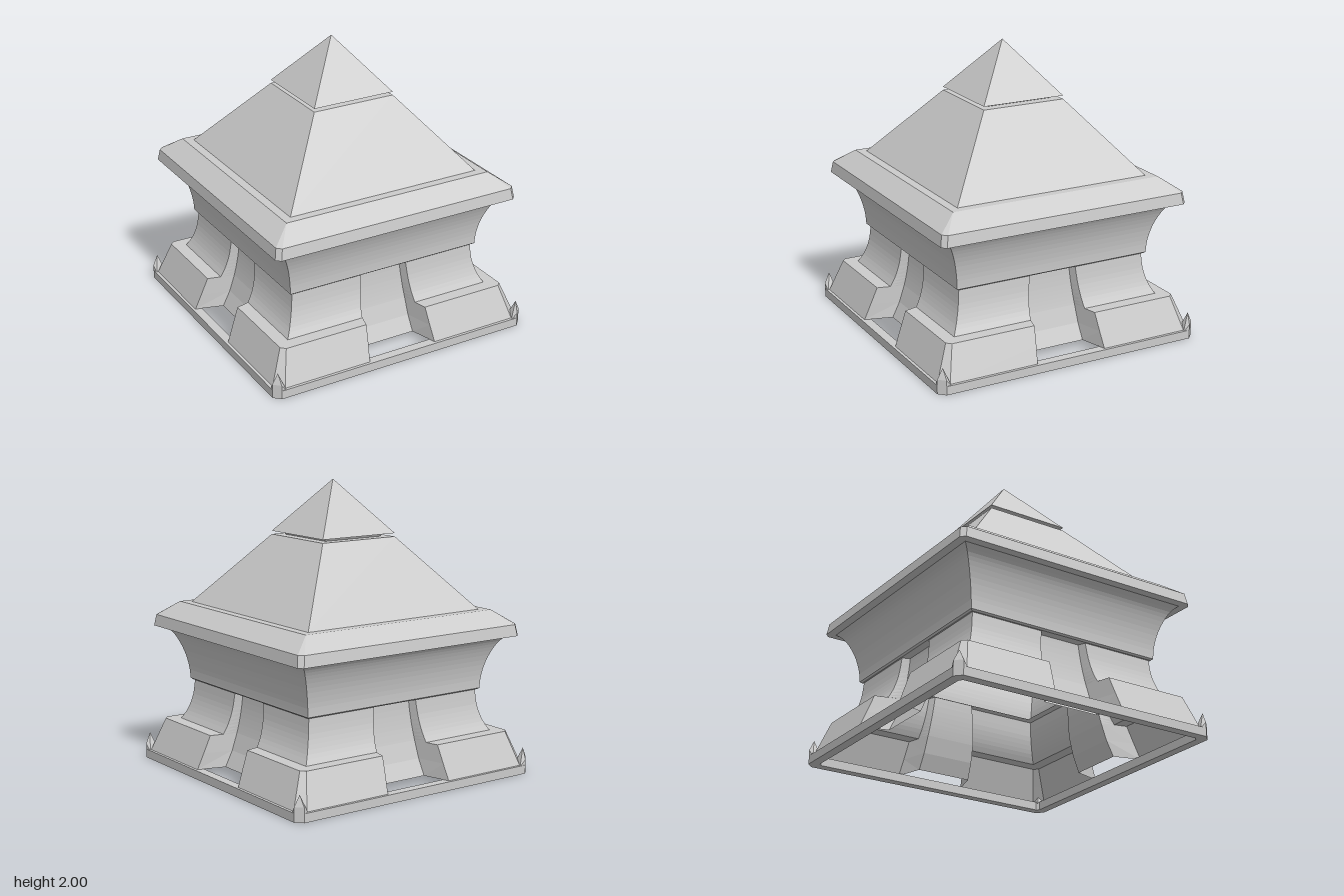
import * as THREE from 'three';
import { ConvexGeometry } from 'three/addons/geometries/ConvexGeometry.js';

const material = new THREE.MeshStandardMaterial({ color: 0xcccccc, flatShading: true, side: THREE.DoubleSide });

// Repeat one corner's outline points [x, z] around the four corners
function fourfold(points) {
  const out = [];
  let quarter = points;
  for (let k = 0; k < 4; k++) {
    out.push(...quarter);
    quarter = quarter.map(([x, z]) => [z, -x]);
  }
  return out;
}

// Square outline of half width h with corners cut by c
const square = (h, c = 0) => fourfold([[h - c, h], [h, h - c]]);

// Skin between stacked closed outlines { y, ring }
function loft(sections) {
  const pos = [];
  for (let i = 0; i < sections.length - 1; i++) {
    const lo = sections[i], hi = sections[i + 1], n = lo.ring.length;
    for (let j = 0; j < n; j++) {
      const k = (j + 1) % n;
      const at = (s, m) => [s.ring[m][0], s.y, s.ring[m][1]];
      const a = at(lo, j), b = at(lo, k), c = at(hi, k), d = at(hi, j);
      pos.push(...a, ...b, ...c, ...a, ...c, ...d);
    }
  }
  const geo = new THREE.BufferGeometry();
  geo.setAttribute('position', new THREE.Float32BufferAttribute(pos, 3));
  geo.computeVertexNormals();
  return geo;
}

// Loft of square sections [half width, y, corner cut]
const squareLoft = (list) => loft(list.map(([h, y, c]) => ({ y, ring: square(h, c) })));

// Smooth samples through [half width, y] points
function curve(points, n) {
  const spline = new THREE.SplineCurve(points.map(([x, y]) => new THREE.Vector2(x, y)));
  return spline.getPoints(n).map((p) => [p.x, p.y]);
}

// Leg section: outer half width h, corner cut c, opening edge g,
// recessed panel at depth p with half width q
const legSection = (y, h, c, g, p, q) => ({
  y,
  ring: fourfold([[q, p], [g, h], [h - c, h], [h, h - c], [h, g], [p, q]]),
});

export function createModel() {
  const model = new THREE.Group();
  const add = (name, geo, parent = model) => {
    const mesh = new THREE.Mesh(geo, material);
    mesh.name = name;
    parent.add(mesh);
    return mesh;
  };

  // Open square ground frame
  const toVec = ([x, z]) => new THREE.Vector2(x, z);
  const frame = new THREE.Shape(square(0.97, 0.045).map(toVec));
  frame.holes.push(new THREE.Path(square(0.905, 0.02).map(toVec)));
  const frameGeo = new THREE.ExtrudeGeometry(frame, { depth: 0.06, bevelEnabled: false });
  frameGeo.rotateX(-Math.PI / 2);
  add('baseFrame', frameGeo);

  // Pointed corner guards on the frame
  const guards = new THREE.Group();
  guards.name = 'cornerGuards';
  model.add(guards);
  const guardPoints = [
    [0.97, 0.05, 0.925], [0.925, 0.05, 0.97], [0.97, 0.1, 0.925], [0.925, 0.1, 0.97],
    [0.96, 0.05, 0.885], [0.885, 0.05, 0.96], [0.89, 0.05, 0.89], [0.933, 0.175, 0.933],
  ].map((p) => new THREE.Vector3(...p));
  for (let i = 0; i < 4; i++) {
    add('cornerGuard', new ConvexGeometry(guardPoints), guards).rotation.y = i * Math.PI / 2;
  }

  // Four flared corner legs with recessed panels between them
  const legs = [
    legSection(0.06, 0.95, 0.06, 0.255, 0.76, 0.2),
    legSection(0.17, 0.907, 0.045, 0.242, 0.71, 0.193),
    legSection(0.29, 0.86, 0.03, 0.23, 0.675, 0.185),
  ];
  for (const [h, y] of curve([[0.77, 0.29], [0.735, 0.36], [0.707, 0.46], [0.695, 0.575]], 10)) {
    const t = (y - 0.29) / 0.285;
    const panel = 0.675 - 0.03 * (1 - (1 - t) ** 2);
    legs.push(legSection(y, h, 0, 0.207 - 0.034 * t, panel, 0.185 - 0.033 * t));
  }
  add('cornerLegs', loft(legs));

  // Concave upper wall with a small ledge at its foot
  const wall = curve([[0.718, 0.595], [0.724, 0.67], [0.745, 0.77], [0.778, 0.86], [0.812, 0.92], [0.85, 0.957]], 14);
  add('upperWall', squareLoft([[0.64, 0.575], [0.705, 0.575], [0.718, 0.585], ...wall]));

  // Eave with clipped corners
  add('eave', squareLoft([
    [0.84, 0.957, 0], [0.91, 0.957, 0.03], [0.897, 1.035, 0.03], [0.765, 1.13, 0], [0.69, 1.13, 0],
  ]));

  // Pyramid roof, recessed neck and cap
  add('roof', squareLoft([[0.705, 1.13], [0.3, 1.615], [0, 1.615]]));
  add('neck', squareLoft([[0.23, 1.615], [0.245, 1.64]]));
  add('cap', squareLoft([[0, 1.638], [0.3, 1.638], [0, 2]]));

  return model;
}
